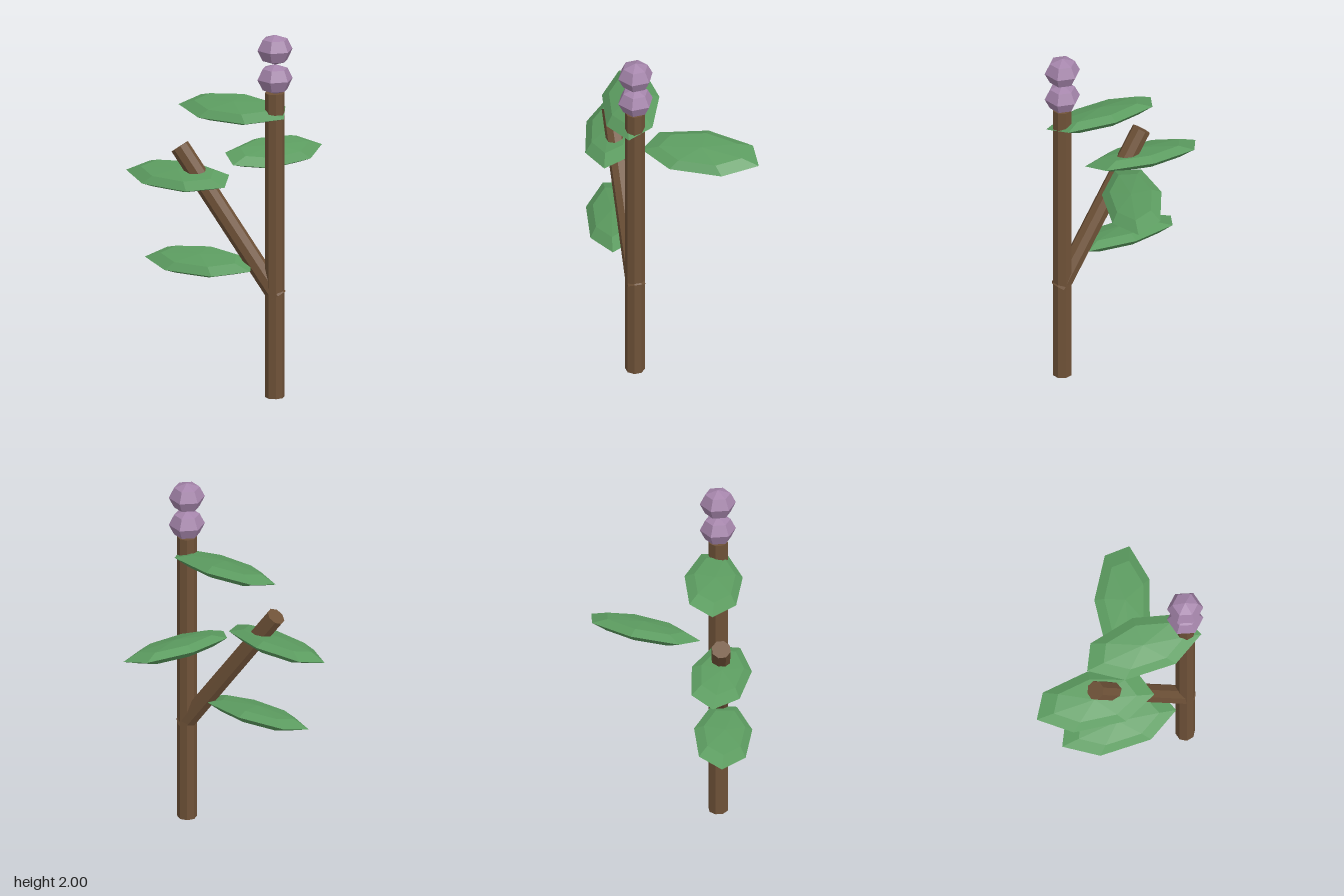
import * as THREE from 'three';

function material(name, color) {
  const m = new THREE.MeshStandardMaterial({ color, flatShading: true });
  m.name = name;
  return m;
}

// Eight-sided rod between two points
function rod(name, from, to, radius, mat) {
  const a = new THREE.Vector3(...from);
  const b = new THREE.Vector3(...to);
  const dir = b.clone().sub(a);
  const geo = new THREE.CylinderGeometry(radius, radius, dir.length(), 8);
  geo.rotateY(Math.PI / 8);
  const mesh = new THREE.Mesh(geo, mat);
  mesh.name = name;
  mesh.position.copy(a).add(b).multiplyScalar(0.5);
  mesh.quaternion.setFromUnitVectors(new THREE.Vector3(0, 1, 0), dir.normalize());
  return mesh;
}

export function createModel() {
  const group = new THREE.Group();
  group.name = 'floweringTwig';
  const bark = material('bark brown', 0x6f5238);
  const green = material('leaf green', 0x5c9c60);
  const purple = material('bud purple', 0xa585ab);

  // Stem and side branch
  group.add(rod('stem', [0.385, 0, 0.272], [0.385, 1.68, 0.272], 0.053, bark));
  group.add(rod('branch', [0.4, 0.555, 0.273], [-0.153, 1.333, 0.22], 0.052, bark));

  // Two stacked buds, slightly flattened
  const budGeo = new THREE.SphereGeometry(0.097, 6, 4);
  budGeo.rotateY(Math.PI / 2);
  budGeo.scale(1, 0.85, 1);
  [['lowerBud', 1.755], ['upperBud', 1.917]].forEach(([name, y]) => {
    const bud = new THREE.Mesh(budGeo, purple);
    bud.name = name;
    bud.position.set(0.386, y, 0.27);
    group.add(bud);
  });

  // Leaves: seven-sided flattened ellipsoids, rolled about their length
  const leafGeo = new THREE.SphereGeometry(1, 7, 4);
  leafGeo.rotateY(-Math.PI / 2);
  leafGeo.scale(0.33, 0.045, 0.16);
  leafGeo.rotateX(0.24);
  [
    ['topLeaf', 0.147, 1.56, 0.216, -0.25],
    ['backLeaf', 0.265, 1.235, -0.146, 1.0],
    ['branchLeaf', -0.158, 1.168, 0.214, -0.355],
    ['lowLeaf', -0.031, 0.713, 0.245, -0.25],
  ].forEach(([name, x, y, z, yaw]) => {
    const leaf = new THREE.Mesh(leafGeo, green);
    leaf.name = name;
    leaf.position.set(x, y, z);
    leaf.rotation.y = yaw;
    group.add(leaf);
  });

  return group;
}
